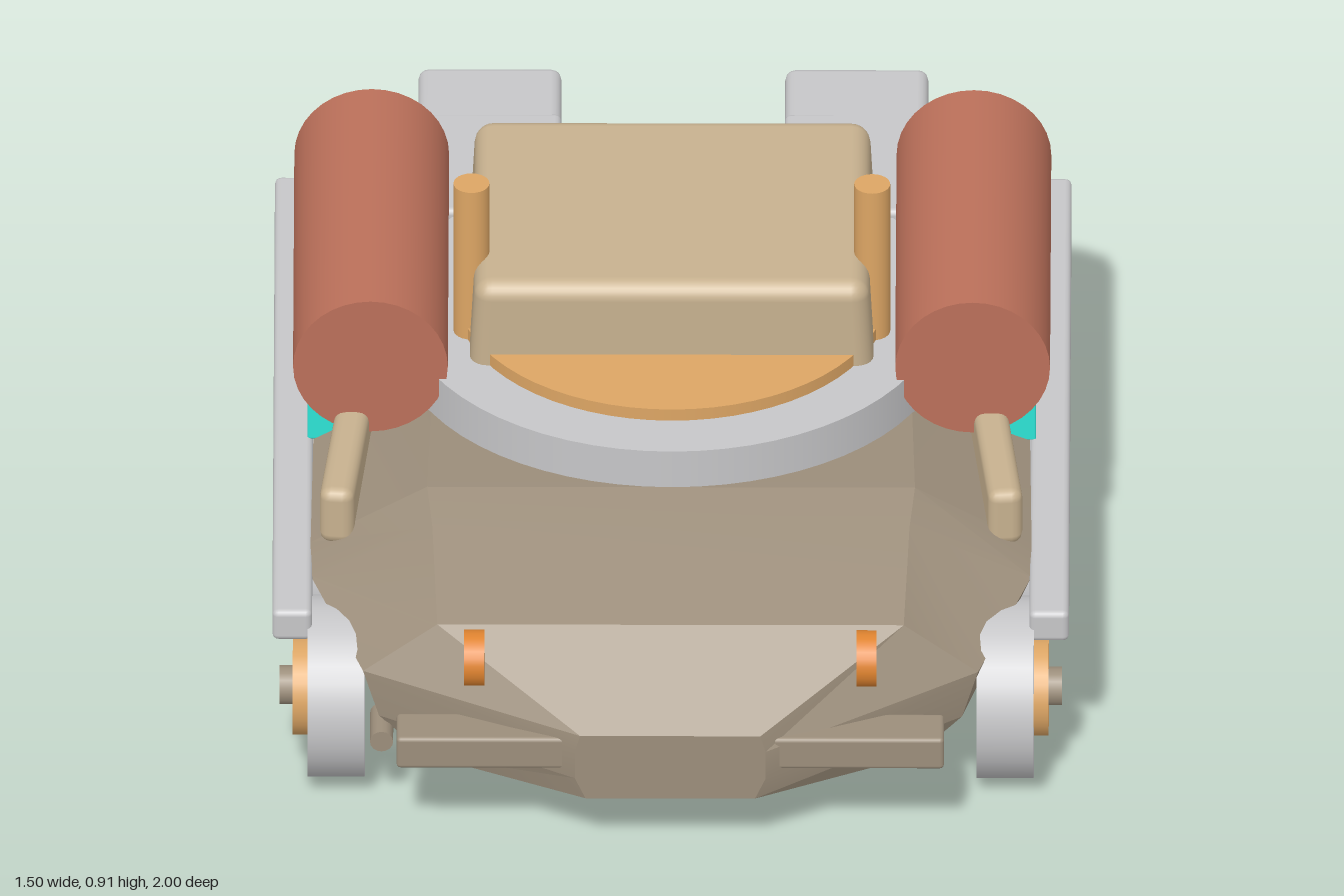
import * as THREE from 'three';
import { toCreasedNormals } from 'three/addons/utils/BufferGeometryUtils.js';
import { RoundedBoxGeometry } from 'three/addons/geometries/RoundedBoxGeometry.js';

const mat = (name, color) => {
  const m = new THREE.MeshStandardMaterial({ color });
  m.name = name;
  return m;
};

export function createModel() {
  const root = new THREE.Group();
  root.name = 'armouredVehicle';
  const hullBrown = mat('hullBrown', 0x9c8e7b);
  const tan = mat('tan', 0xc7b18f);
  const grey = mat('grey', 0xc6c6c8);
  const ochre = mat('ochre', 0xdca564);
  const rust = mat('rust', 0xbb705a);
  const teal = mat('teal', 0x2ee4d6);
  const amber = mat('amber', 0xe08430);

  const add = (name, geo, material, x = 0, y = 0, z = 0) => {
    const m = new THREE.Mesh(geo, material);
    m.name = name;
    m.position.set(x, y, z);
    root.add(m);
    return m;
  };
  const box = (name, material, w, h, d, x, y, z, r = 0.012) =>
    add(name, new RoundedBoxGeometry(w, h, d, 2, r), material, x, y, z);
  const cyl = (name, material, r, len, axis, x, y, z, seg = 32) => {
    const g = new THREE.CylinderGeometry(r, r, len, seg);
    if (axis === 'x') g.rotateZ(Math.PI / 2);
    if (axis === 'z') g.rotateX(Math.PI / 2);
    return add(name, g, material, x, y, z);
  };
  // round bar between two points
  const rod = (name, material, a, b, r) => {
    const p = new THREE.Vector3(...a), q = new THREE.Vector3(...b);
    const m = cyl(name, material, r, p.distanceTo(q), 'y', 0, 0, 0, 12);
    m.position.copy(p).add(q).multiplyScalar(0.5);
    m.quaternion.setFromUnitVectors(new THREE.Vector3(0, 1, 0), q.sub(p).normalize());
    return m;
  };

  // Hull: mirrored sections along z, each top edge, shoulder, lower side, bottom edge as [x, y]
  const sections = [
    [1.0, [0.17, 0.265], [0.18, 0.23], [0.18, 0.17], [0.16, 0.125]],
    [0.83, [0.44, 0.405], [0.58, 0.3], [0.55, 0.2], [0.46, 0.11]],
    [0.6, [0.45, 0.475], [0.68, 0.365], [0.575, 0.27], [0.54, 0.105]],
    [0.5, [0.46, 0.5], [0.68, 0.375], [0.575, 0.27], [0.55, 0.105]],
    [-0.4, [0.44, 0.465], [0.67, 0.37], [0.575, 0.27], [0.55, 0.105]],
    [-0.6, [0.41, 0.43], [0.595, 0.33], [0.57, 0.25], [0.52, 0.105]],
    [-0.84, [0.37, 0.375], [0.51, 0.29], [0.5, 0.2], [0.43, 0.12]],
    [-1.0, [0.24, 0.265], [0.26, 0.24], [0.26, 0.2], [0.22, 0.175]],
  ];
  const pos = [], idx = [];
  sections.forEach(([z, ...pts]) => {
    pts.forEach(([x, y]) => pos.push(x, y, z));
    [...pts].reverse().forEach(([x, y]) => pos.push(-x, y, z));
  });
  const n = 8, last = (sections.length - 1) * n;
  for (let s = 0; s < sections.length - 1; s++) {
    for (let i = 0; i < n; i++) {
      const a = s * n + i, b = s * n + (i + 1) % n;
      idx.push(a, b, a + n, b, b + n, a + n);
    }
  }
  for (let i = 1; i < n - 1; i++) {
    idx.push(0, i + 1, i, last, last + i, last + i + 1);
  }
  const hull = new THREE.BufferGeometry();
  hull.setAttribute('position', new THREE.Float32BufferAttribute(pos, 3));
  hull.setIndex(idx);
  add('hull', toCreasedNormals(hull, 0.25), hullBrown);

  // Turret: ring, turntable and rounded cabin that narrows towards its roof
  cyl('turretRing', grey, 0.512, 0.1, 'y', 0, 0.53, -0.012, 64);
  cyl('turntable', ochre, 0.405, 0.03, 'y', 0, 0.59, -0.012, 64);
  const cabin = new RoundedBoxGeometry(0.77, 0.255, 0.59, 3, 0.035);
  const cp = cabin.attributes.position;
  for (let i = 0; i < cp.count; i++) {
    const k = 1 - 0.035 * (cp.getY(i) / 0.255 + 0.5);
    cp.setX(i, cp.getX(i) * k);
  }
  add('turretCabin', cabin, tan, 0, 0.63, -0.092);

  for (const s of [1, -1]) {
    // Running gear
    for (const z of [0.69, 0.225, -0.24, -0.71]) {
      cyl('wheel', grey, 0.172, 0.108, 'x', s * 0.631, 0.176, z);
      cyl('hub', ochre, 0.094, 0.1, 'x', s * 0.663, 0.178, z);
      cyl('axleCap', hullBrown, 0.037, 0.16, 'x', s * 0.658, 0.178, z, 16);
    }
    box('sideRail', grey, 0.075, 0.066, 1.51, s * 0.714, 0.344, -0.01);

    // Side stowage
    cyl('drum', rust, 0.146, 0.735, 'z', s * 0.568, 0.608, -0.117, 36);
    box('sidePanel', teal, 0.07, 0.145, 0.428, s * 0.652, 0.446, -0.073, 0.003);
    const arm = box('sideLocker', tan, 0.066, 0.12, 0.5, s * 0.607, 0.445, 0.28, 0.022);
    arm.rotation.y = s * 0.1;

    // Rear stowage: deep locker, shallow shelf to the turret, small bracket
    box('rearLocker', grey, 0.27, 0.185, 0.3, s * 0.346, 0.502, -0.662, 0.02);
    box('rearShelf', grey, 0.27, 0.122, 0.34, s * 0.346, 0.534, -0.48, 0.012);
    box('rearBracket', hullBrown, 0.04, 0.1, 0.06, s * 0.515, 0.515, -0.52, 0.008);

    // Masts, lamps and bumpers
    cyl('mast', ochre, 0.034, 0.35, 'y', s * 0.378, 0.735, 0.08, 24);
    cyl('frontLamp', amber, 0.053, 0.038, 'x', s * 0.37, 0.378, 0.903, 24);
    cyl('rearLamp', rust, 0.036, 0.028, 'x', s * 0.346, 0.356, -0.905, 20);
    box('bumper', hullBrown, 0.325, 0.068, 0.092, s * 0.354, 0.217, 0.943, 0.008);
  }

  // Rear struts and small bars
  rod('strut', ochre, [0.49, 0.57, -0.535], [0.67, 0.21, -0.59], 0.017);
  rod('strut', ochre, [-0.485, 0.57, -0.585], [-0.68, 0.21, -0.538], 0.017);
  rod('rearBar', ochre, [-0.53, 0.24, -0.86], [-0.49, 0.25, -0.68], 0.013);
  rod('rearBar', hullBrown, [0.545, 0.25, -0.82], [0.5, 0.25, -0.65], 0.016);
  cyl('frontPlug', hullBrown, 0.022, 0.1, 'z', -0.545, 0.167, 0.82, 16);

  return root;
}
